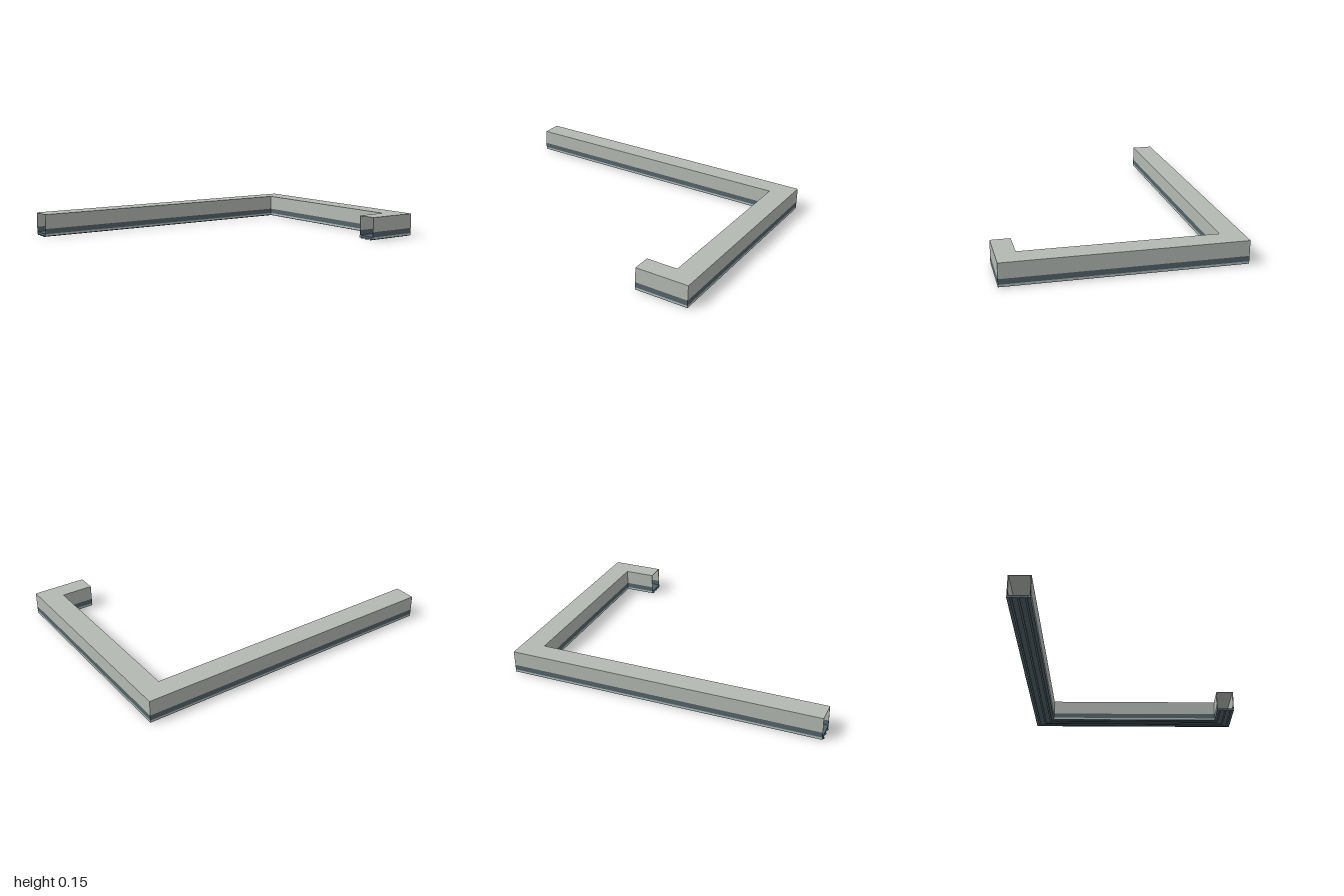
import * as THREE from 'three';

// Plan outlines [x, z] of the bent channel: outer and inner edges at each mitre
const OUTER = [[-0.995, -0.727], [1, -0.727], [1, 0.725], [0.66, 0.725]];
const INNER = [[-0.995, -0.592], [0.86, -0.592], [0.86, 0.603], [0.66, 0.603]];

// Sweep a rectangle (u across the channel, y up) along the mitred path
function sweepBar(u0, u1, y0, y1, overhang = 0) {
  const corners = [[u0, y0], [u0, y1], [u1, y1], [u1, y0]];
  const rings = OUTER.map((o, i) => corners.map(([u, y]) => {
    const end = i === 0 || i === OUTER.length - 1;
    return [
      THREE.MathUtils.lerp(o[0], INNER[i][0], u) - (end ? overhang : 0),
      y,
      THREE.MathUtils.lerp(o[1], INNER[i][1], u),
    ];
  }));
  const pos = [];
  const quad = (a, b, c, d) => pos.push(...a, ...b, ...c, ...a, ...c, ...d);
  for (let i = 0; i < rings.length - 1; i++) {
    for (let j = 0; j < 4; j++) {
      const k = (j + 1) % 4;
      quad(rings[i][j], rings[i][k], rings[i + 1][k], rings[i + 1][j]);
    }
  }
  // End caps
  const [s, e] = [rings[0], rings[rings.length - 1]];
  quad(s[3], s[2], s[1], s[0]);
  quad(e[0], e[1], e[2], e[3]);
  const geo = new THREE.BufferGeometry();
  geo.setAttribute('position', new THREE.Float32BufferAttribute(pos, 3));
  geo.computeVertexNormals();
  return geo;
}

export function createModel() {
  const model = new THREE.Group();
  model.name = 'bentChannel';
  const grey = new THREE.MeshStandardMaterial({ color: 0xb4b9b3 });
  grey.name = 'warmGrey';
  const slate = new THREE.MeshStandardMaterial({ color: 0x53636a });
  slate.name = 'slateBlue';

  const add = (name, material, ...section) => {
    const mesh = new THREE.Mesh(sweepBar(...section), material);
    mesh.name = name;
    model.add(mesh);
  };

  // Hollow cover: top plate and two side walls
  const t = 0.04;
  add('topPlate', grey, 0, 1, 0.145, 0.148);
  [['outer', 0, t], ['inner', 1 - t, 1]].forEach(([side, a, b]) => {
    add(side + 'Wall', grey, a, b, 0.053, 0.145);
    add(side + 'Band', slate, a, b, 0.02, 0.053);
    add(side + 'Trim', grey, a, b, 0.008, 0.02);
  });

  // Floor between the trims, with three narrow running ribs beneath
  add('floor', slate, t, 1 - t, 0.008, 0.02);
  add('floorUnderside', slate, 0, 1, 0.005, 0.008);
  [0.13, 0.45, 0.77].forEach((u, i) => add('rib' + (i + 1), slate, u, u + 0.1, 0, 0.005, 0.005));

  return model;
}
